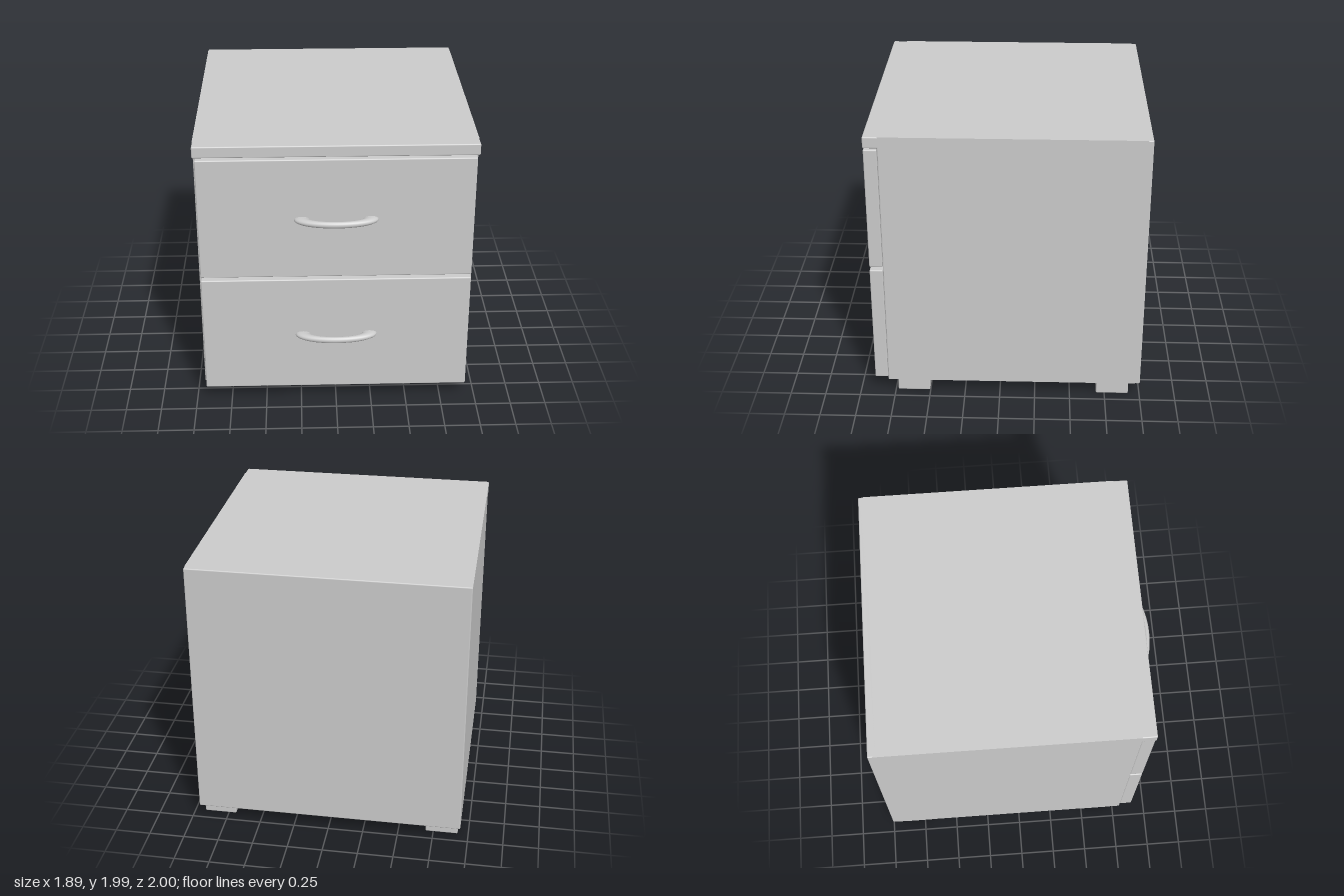
import * as THREE from 'three';
import { RoundedBoxGeometry } from 'three/addons/geometries/RoundedBoxGeometry.js';

const material = new THREE.MeshStandardMaterial({ color: 0xcccccc });
const BEVEL = 0.008;

// Softly bevelled box given by its limits on each axis
function panel(name, [x0, x1], [y0, y1], [z0, z1]) {
  const geometry = new RoundedBoxGeometry(x1 - x0, y1 - y0, z1 - z0, 2, BEVEL);
  const mesh = new THREE.Mesh(geometry, material);
  mesh.position.set((x0 + x1) / 2, (y0 + y1) / 2, (z0 + z1) / 2);
  mesh.name = name;
  return mesh;
}

function rectangle(target, x, y0, y1) {
  target.moveTo(-x, y0);
  target.lineTo(x, y0);
  target.lineTo(x, y1);
  target.lineTo(-x, y1);
  target.closePath();
  return target;
}

// Cabinet: hollow frame, closed back and overhanging top
function makeCabinet() {
  const cabinet = new THREE.Group();
  cabinet.name = 'cabinet';
  const outline = rectangle(new THREE.Shape(), 0.945, 0.1, 1.99);
  outline.holes.push(rectangle(new THREE.Path(), 0.9, 0.145, 1.91));
  const back = -0.97, front = 0.8;
  const geometry = new THREE.ExtrudeGeometry(outline, {
    depth: front - back - 2 * BEVEL,
    bevelThickness: BEVEL,
    bevelSize: BEVEL,
    bevelOffset: -BEVEL,
    bevelSegments: 2,
  });
  geometry.translate(0, 0, back + BEVEL);
  const frame = new THREE.Mesh(geometry, material);
  frame.name = 'frame';
  cabinet.add(
    frame,
    panel('backPanel', [-0.945, 0.945], [0.1, 1.99], [-1, -0.94]),
    panel('topPanel', [-0.945, 0.945], [1.91, 1.99], [-1, 0.895]),
  );
  return cabinet;
}

// Bow handle: half ring flattened into an ellipse
function makeHandle(y) {
  const geometry = new THREE.TorusGeometry(0.2325, 0.0525, 20, 48, Math.PI);
  geometry.rotateX(Math.PI / 2);
  geometry.scale(1, 0.43, 0.37);
  const handle = new THREE.Mesh(geometry, material);
  handle.position.set(0, y, 0.894);
  handle.name = 'handle';
  return handle;
}

// Drawer: front, open box behind it and handle
function makeDrawer(name, y0, y1) {
  const drawer = new THREE.Group();
  drawer.name = name;
  const low = y0 + 0.06, high = y1 - 0.12;
  drawer.add(
    panel('drawerFront', [-0.93, 0.93], [y0, y1], [0.803, 0.895]),
    panel('drawerBottom', [-0.88, 0.88], [low, low + 0.03], [-0.9, 0.81]),
    panel('drawerBack', [-0.88, 0.88], [low, high], [-0.9, -0.86]),
    makeHandle((y0 + y1) / 2),
  );
  for (const side of [-1, 1]) {
    const x = side * 0.86;
    drawer.add(panel('drawerSide', [x - 0.02, x + 0.02], [low, high], [-0.9, 0.81]));
  }
  return drawer;
}

export function createModel() {
  const model = new THREE.Group();
  model.name = 'bedsideCabinet';
  model.add(
    makeCabinet(),
    makeDrawer('lowerDrawer', 0.11, 0.988),
    makeDrawer('upperDrawer', 1.013, 1.892),
  );

  // Four block feet
  for (const x of [-0.81, 0.81]) {
    for (const z of [-0.805, 0.618]) {
      model.add(panel('foot', [x - 0.115, x + 0.115], [0, 0.115], [z - 0.115, z + 0.115]));
    }
  }
  return model;
}
